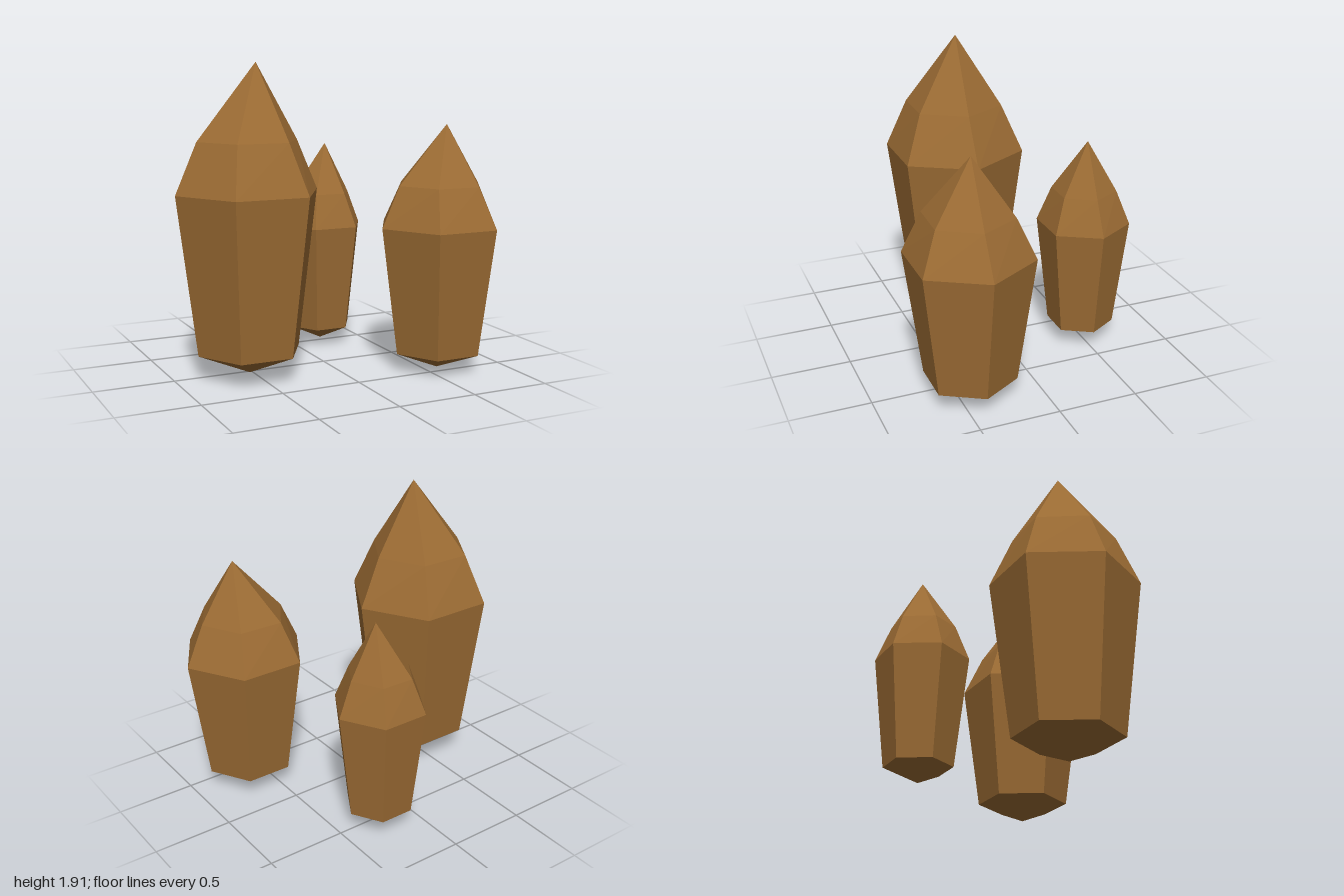
import * as THREE from 'three';

const SIDES = 6;

// Point i of a hexagonal ring; a twist turns +x towards +z.
function ringPoint({ x, y, z, r, twist = 0 }, i) {
  const a = (i / SIDES) * Math.PI * 2 + twist;
  return [x + r * Math.cos(a), y, z + r * Math.sin(a)];
}

// Flat-faced skin over rings listed from bottom to top; radius 0 makes a tip.
function skinRings(rings) {
  const positions = [];
  for (let k = 0; k < rings.length - 1; k++) {
    const low = rings[k], high = rings[k + 1];
    for (let i = 0; i < SIDES; i++) {
      const l0 = ringPoint(low, i), l1 = ringPoint(low, i + 1);
      const h0 = ringPoint(high, i), h1 = ringPoint(high, i + 1);
      if (low.r > 0) positions.push(...l1, ...l0, ...h0);
      if (high.r > 0) positions.push(...l1, ...h0, ...h1);
    }
  }
  const geometry = new THREE.BufferGeometry();
  geometry.setAttribute('position', new THREE.Float32BufferAttribute(positions, 3));
  geometry.computeVertexNormals();
  return geometry;
}

// Crystal: pointed base, flaring shaft, twisted shoulder and off-centre tip.
function crystal({ name, x, z, r, heights, tipShift }, material) {
  const [bottom, foot, waist, shoulder, tip] = heights;
  const mesh = new THREE.Mesh(skinRings([
    { x, y: bottom, z, r: 0 },
    { x, y: foot, z, r: r * 0.722 },
    { x, y: waist, z, r },
    { x, y: shoulder, z, r: r * 0.696, twist: 0.03 },
    { x: x + tipShift, y: tip, z, r: 0 },
  ]), material);
  mesh.name = name;
  return mesh;
}

export function createModel() {
  const group = new THREE.Group();
  group.name = 'crystalCluster';
  const amber = new THREE.MeshStandardMaterial({ color: 0x9c6c34 });
  amber.name = 'amber brown';

  const crystals = [
    { name: 'largeCrystal', x: -0.543, z: 0.085, r: 0.457, heights: [0.02, 0.16, 1.14, 1.45, 1.915], tipShift: 0.056 },
    { name: 'mediumCrystal', x: 0.598, z: 0.411, r: 0.398, heights: [0, 0.115, 0.91, 1.165, 1.535], tipShift: 0.048 },
    { name: 'smallCrystal', x: 0.213, z: -0.507, r: 0.294, heights: [0.017, 0.115, 0.815, 1.035, 1.365], tipShift: 0.035 },
  ];
  for (const spec of crystals) group.add(crystal(spec, amber));
  return group;
}
